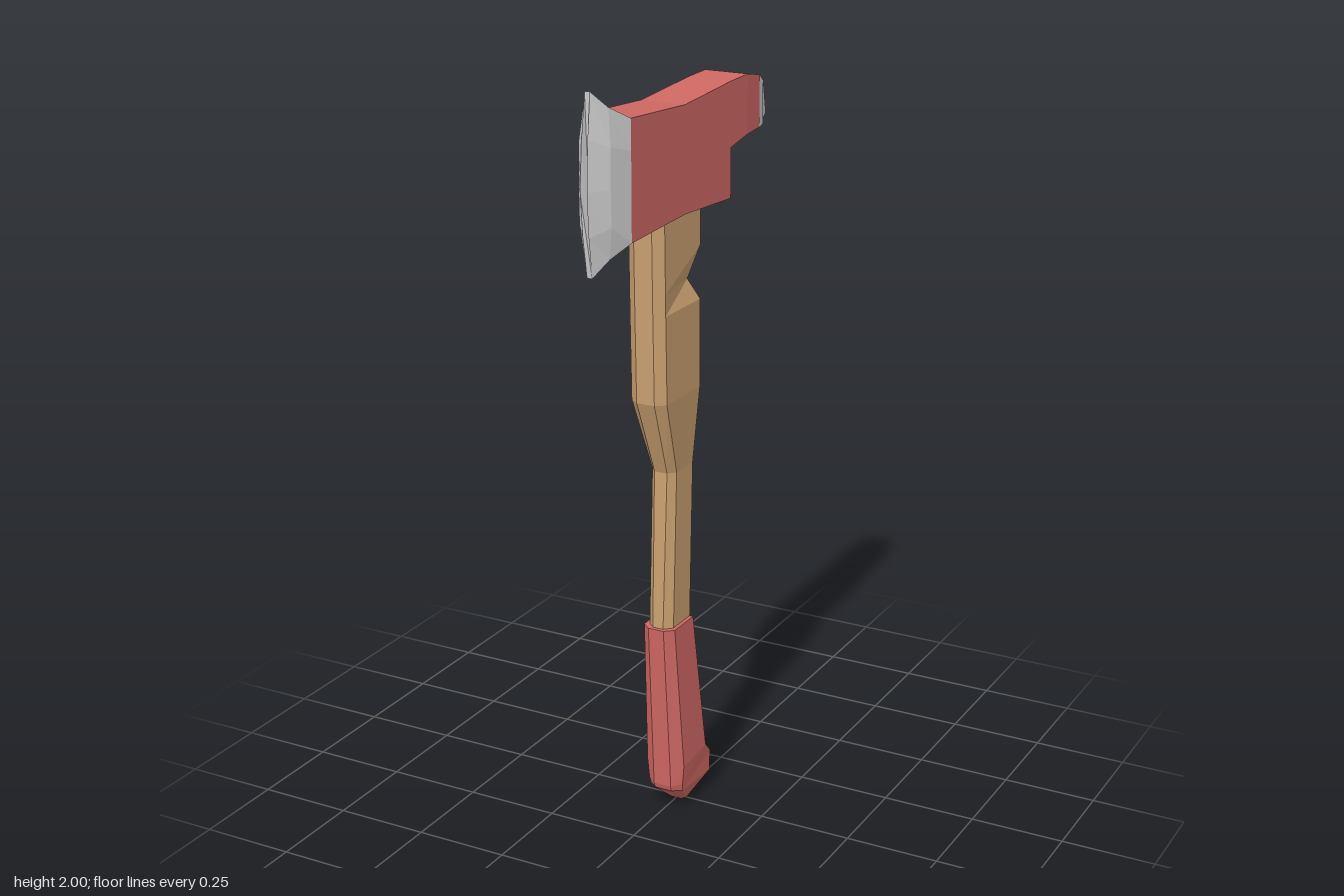
import * as THREE from 'three';

const mat = (color) => new THREE.MeshStandardMaterial({ color, flatShading: true, roughness: 0.8 });

// Skin a list of rings (equal point counts, [x, y, z]) and cap both ends.
function loft(name, rings, material) {
  const pos = [];
  const tri = (a, b, c) => pos.push(...a, ...b, ...c);
  const n = rings[0].length;
  for (let r = 0; r < rings.length - 1; r++) {
    for (let i = 0; i < n; i++) {
      const j = (i + 1) % n;
      const [a, b, c, d] = [rings[r][i], rings[r][j], rings[r + 1][j], rings[r + 1][i]];
      tri(a, b, c);
      tri(a, c, d);
    }
  }
  const last = rings[rings.length - 1];
  for (let i = 1; i < n - 1; i++) {
    tri(rings[0][0], rings[0][i + 1], rings[0][i]);
    tri(last[0], last[i], last[i + 1]);
  }
  const geo = new THREE.BufferGeometry();
  geo.setAttribute('position', new THREE.Float32BufferAttribute(pos, 3));
  geo.computeVertexNormals();
  const mesh = new THREE.Mesh(geo, material);
  mesh.name = name;
  return mesh;
}

// Mirrored ring from points [halfWidth, y, z] running from bottom to top.
const mirrorRing = (pts) => [
  ...pts.map(([w, y, z]) => [w, y, z]),
  ...[...pts].reverse().map(([w, y, z]) => [-w, y, z]),
];

// Shaft section: flat back, chamfered front; back and front may differ in height.
function shaftRing(yb, zb, yf, zf, hw, fw, chamfer, dent = 0) {
  const zc = zf - chamfer;
  const yc = yb + (yf - yb) * (zc - zb) / (zf - zb);
  return [
    [-hw, yb, zb], [-hw, yc, zc], [-fw, yf, zf],
    [fw, yf, zf], [hw, yc, zc], [hw - dent, yb, zb + dent],
  ];
}

export function createModel() {
  const group = new THREE.Group();
  group.name = 'axe';
  const red = mat(0xcf6863), wood = mat(0xc9a070), steel = mat(0xcccccc);

  // Painted head: [z, bottom, top, halfWidth] from front to back
  const headSections = [
    [0.345, 1.63, 1.927, 0.06], [0.08, 1.64, 1.91, 0.06],
    [-0.165, 1.627, 1.925, 0.06], [-0.165, 1.757, 1.925, 0.06],
    [-0.255, 1.773, 1.927, 0.06], [-0.337, 1.775, 1.91, 0.053],
  ];
  group.add(loft('head', headSections
    .map(([z, b, t, w]) => mirrorRing([[w, b, z], [w, t, z]])).reverse(), red));

  // Flared cutting blade
  group.add(loft('blade', [
    mirrorRing([[0.06, 1.63, 0.345], [0.06, 1.7, 0.345], [0.06, 1.77, 0.345], [0.06, 1.85, 0.345], [0.06, 1.927, 0.345]]),
    mirrorRing([[0.033, 1.6, 0.402], [0.043, 1.68, 0.41], [0.043, 1.77, 0.412], [0.043, 1.87, 0.41], [0.033, 1.96, 0.402]]),
    mirrorRing([[0.007, 1.56, 0.44], [0.008, 1.66, 0.455], [0.009, 1.77, 0.463], [0.008, 1.89, 0.455], [0.007, 2.0, 0.44]]),
  ], steel));

  // Rear pick
  group.add(loft('pick', [
    mirrorRing([[0.01, 1.765, -0.43], [0.01, 1.785, -0.462]]),
    mirrorRing([[0.037, 1.77, -0.39], [0.037, 1.885, -0.39]]),
    mirrorRing([[0.053, 1.775, -0.337], [0.053, 1.91, -0.337]]),
  ], steel));

  // Wooden handle with a small nick in one rear corner
  group.add(loft('handle', [
    shaftRing(0.53, 0.005, 0.53, 0.115, 0.035, 0.015, 0.02),
    shaftRing(0.965, -0.01, 0.965, 0.097, 0.035, 0.018, 0.02),
    shaftRing(1.17, -0.02, 1.17, 0.175, 0.05, 0.025, 0.02),
    shaftRing(1.4, -0.02, 1.4, 0.181, 0.05, 0.025, 0.02),
    shaftRing(1.455, -0.02, 1.455, 0.182, 0.05, 0.025, 0.02, 0.024),
    shaftRing(1.54, -0.02, 1.54, 0.184, 0.05, 0.025, 0.02),
    shaftRing(1.66, -0.02, 1.66, 0.186, 0.05, 0.025, 0.02),
  ], wood));

  // Grip with a hooked heel
  group.add(loft('grip', [
    shaftRing(0.008, -0.037, 0, 0.015, 0.025, 0.015, 0.012),
    shaftRing(0.05, -0.086, 0.06, 0.088, 0.048, 0.024, 0.02),
    shaftRing(0.11, -0.086, 0.075, 0.093, 0.05, 0.025, 0.02),
    shaftRing(0.145, -0.05, 0.13, 0.096, 0.055, 0.025, 0.022),
    shaftRing(0.54, 0.005, 0.54, 0.126, 0.045, 0.022, 0.02),
  ], red));

  return group;
}
